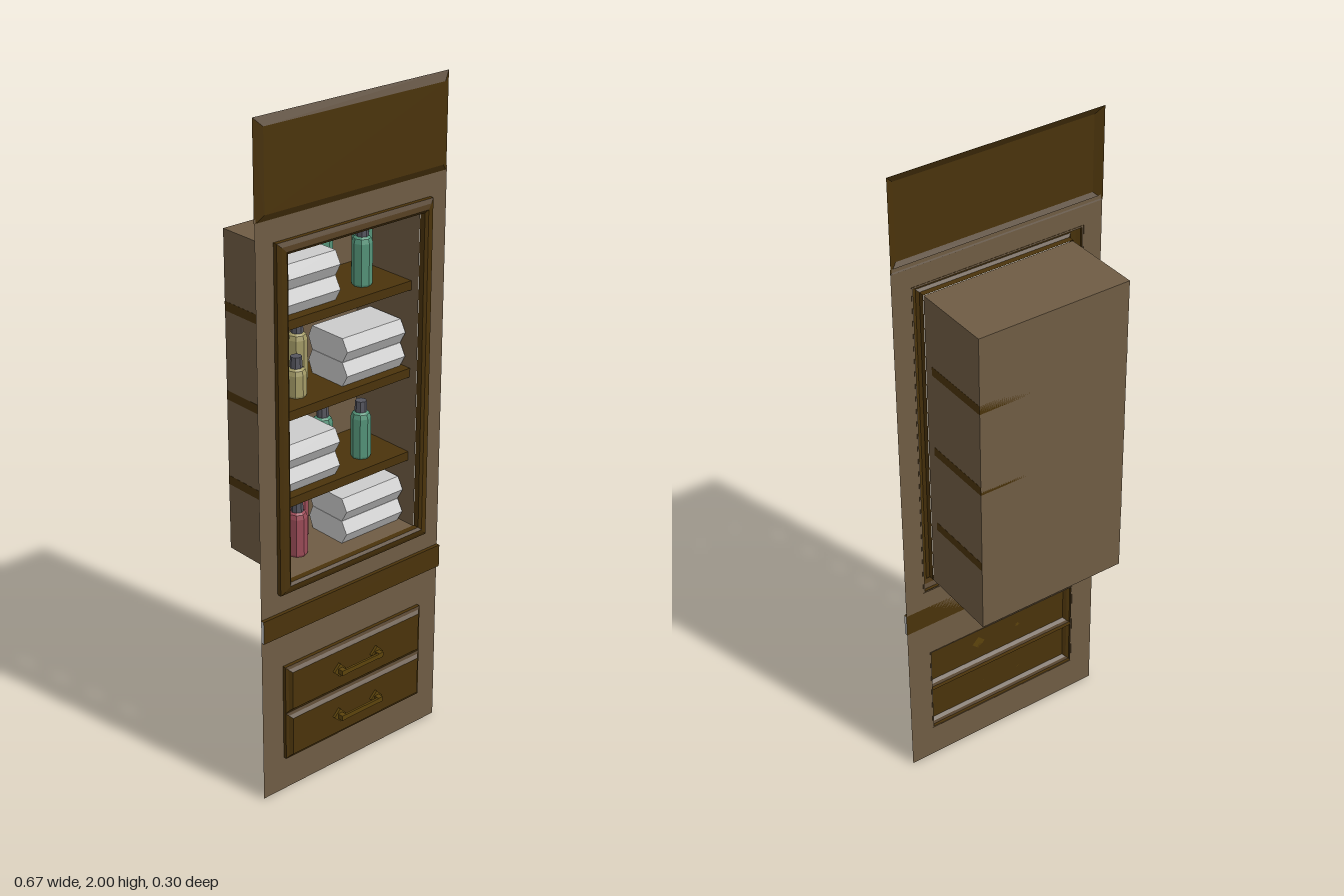
import * as THREE from 'three';

const mat = (color) => new THREE.MeshStandardMaterial({ color, flatShading: true, side: THREE.DoubleSide });
const wood = mat(0x4a330b), panelMat = mat(0x6f5c44), brass = mat(0x5c430c);
const grey = mat(0xcccccc), cap = mat(0x55555e);
const green = mat(0x55957a), yellow = mat(0xa59c68), red = mat(0x9c4c58);

function add(parent, name, geometry, material, x = 0, y = 0, z = 0) {
  const mesh = new THREE.Mesh(geometry, material);
  mesh.name = name;
  mesh.position.set(x, y, z);
  parent.add(mesh);
  return mesh;
}

// Rectangular rings lofted along a profile of [inset, z]; capped panels get a front face
function moulding(w, h, profile, capped) {
  const rings = profile.map(([inset, z]) => {
    const a = w / 2 - inset, b = h / 2 - inset;
    return [[-a, -b, z], [a, -b, z], [a, b, z], [-a, b, z]];
  });
  const pos = [];
  const quad = (a, b, c, d) => pos.push(...a, ...b, ...c, ...a, ...c, ...d);
  for (let i = 0; i < rings.length - 1; i++) {
    for (let k = 0; k < 4; k++) {
      const n = (k + 1) % 4;
      quad(rings[i][k], rings[i][n], rings[i + 1][n], rings[i + 1][k]);
    }
  }
  if (capped) quad(...rings[rings.length - 1]);
  const g = new THREE.BufferGeometry();
  g.setAttribute('position', new THREE.Float32BufferAttribute(pos, 3));
  g.computeVertexNormals();
  return g;
}

function rectangle(Type, x, y0, y1) {
  return new Type([[-x, y0], [x, y0], [x, y1], [-x, y1]].map((p) => new THREE.Vector2(...p)));
}

// Pull handle: two diamond feet, two posts and a bar
function handle(y) {
  const g = new THREE.Group();
  g.name = 'drawerHandle';
  for (const s of [-1, 1]) {
    const foot = new THREE.CylinderGeometry(0.022, 0.022, 0.008, 4).rotateX(Math.PI / 2);
    add(g, 'handleFoot', foot, brass, s * 0.071, 0, 0.126);
    add(g, 'handlePost', new THREE.BoxGeometry(0.016, 0.016, 0.018), brass, s * 0.071, 0, 0.138);
  }
  add(g, 'handleBar', new THREE.BoxGeometry(0.158, 0.014, 0.007), brass, 0, 0, 0.1435);
  g.position.y = y;
  return g;
}

// Eight-sided bottle with a shoulder and a cap
function bottle(x, y, z, h, material) {
  const g = new THREE.Group();
  g.name = 'bottle';
  const profile = [[0, 0], [0.027, 0], [0.029, 0.006], [0.029, h - 0.05], [0.025, h - 0.037], [0.015, h - 0.03]];
  const body = new THREE.LatheGeometry(profile.map((p) => new THREE.Vector2(...p)), 8);
  add(g, 'bottleBody', body, material);
  add(g, 'bottleCap', new THREE.CylinderGeometry(0.016, 0.018, 0.032, 8), cap, 0, h - 0.016, 0);
  g.position.set(x, y, z);
  return g;
}

// Two folded towels with pointed front and back edges
function towels(side, y) {
  const g = new THREE.Group();
  g.name = 'towelStack';
  const section = [[-0.042, 0], [0.042, 0.0], [0.06, 0]].length && new THREE.Shape([
    [-0.04, 0], [0.085, 0], [0.1, 0.035], [0.085, 0.07], [-0.04, 0.07], [-0.06, 0.035],
  ].map((p) => new THREE.Vector2(...p)));
  const geo = new THREE.ExtrudeGeometry(section, { depth: 0.215, bevelEnabled: false });
  geo.rotateY(Math.PI / 2).translate(-0.1075, 0, 0);
  for (let i = 0; i < 2; i++) add(g, 'towel', geo, grey, 0, i * 0.071, 0);
  g.position.set(side * 0.12, y, 0);
  return g;
}

export function createModel() {
  const model = new THREE.Group();
  model.name = 'wallCabinet';

  // Thin face panel with openings for the niche and drawers
  const face = rectangle(THREE.Shape, 0.333, 0, 1.74);
  face.holes.push(rectangle(THREE.Path, 0.268, 0.652, 1.66), rectangle(THREE.Path, 0.254, 0.11, 0.408));
  add(model, 'facePanel', new THREE.ShapeGeometry(face), panelMat, 0, 0, 0.098);

  // Bevelled header and plain trim band
  add(model, 'headerPanel', moulding(0.666, 0.275, [[0, 0.096], [0.024, 0.109]], true), wood, 0, 1.8625, 0);
  add(model, 'trimBand', new THREE.BoxGeometry(0.666, 0.07, 0.011),
    [grey, grey, wood, wood, wood, wood], 0, 0.553, 0.1035);

  // Niche box, open at the front
  const box = new THREE.BoxGeometry(0.474, 0.95, 0.248);
  box.setIndex([...box.index.array].filter((v, i) => i < 24 || i >= 30));
  box.clearGroups();
  add(model, 'nicheBox', box, panelMat, 0, 1.155, -0.026);

  // Moulded frame around the niche
  const frame = [[0, 0.097], [0, 0.111], [0.012, 0.117], [0.026, 0.121], [0.034, 0.115], [0.034, 0.097]];
  add(model, 'nicheFrame', moulding(0.546, 1.018, frame, false), wood, 0, 1.157, 0);

  for (const y of [0.895, 1.153, 1.413]) {
    add(model, 'shelf', new THREE.BoxGeometry(0.475, 0.027, 0.22), wood, 0, y, -0.04);
  }

  // Drawers with handles
  for (const y of [0.184, 0.336]) {
    const front = [[0, 0.097], [0, 0.109], [0.008, 0.113], [0.016, 0.122]];
    add(model, 'drawerFront', moulding(0.516, 0.152, front, true), wood, 0, y, 0);
    model.add(handle(y));
  }

  // Each shelf holds towels on one side and three bottles on the other
  const rows = [
    { y: 0.681, side: 1, material: red, heights: [0.167, 0.167, 0.167] },
    { y: 0.909, side: -1, material: green, heights: [0.15, 0.172, 0.102] },
    { y: 1.167, side: 1, material: yellow, heights: [0.172, 0.115, 0.172] },
    { y: 1.427, side: -1, material: green, heights: [0.172, 0.172, 0.172] },
  ];
  for (const { y, side, material, heights } of rows) {
    model.add(towels(side, y));
    heights.forEach((h, i) => {
      const x = -side * 0.118 + (i - 1) * 0.072;
      model.add(bottle(x, y, i === 1 ? 0.0 : -0.08, h, material));
    });
  }
  return model;
}
